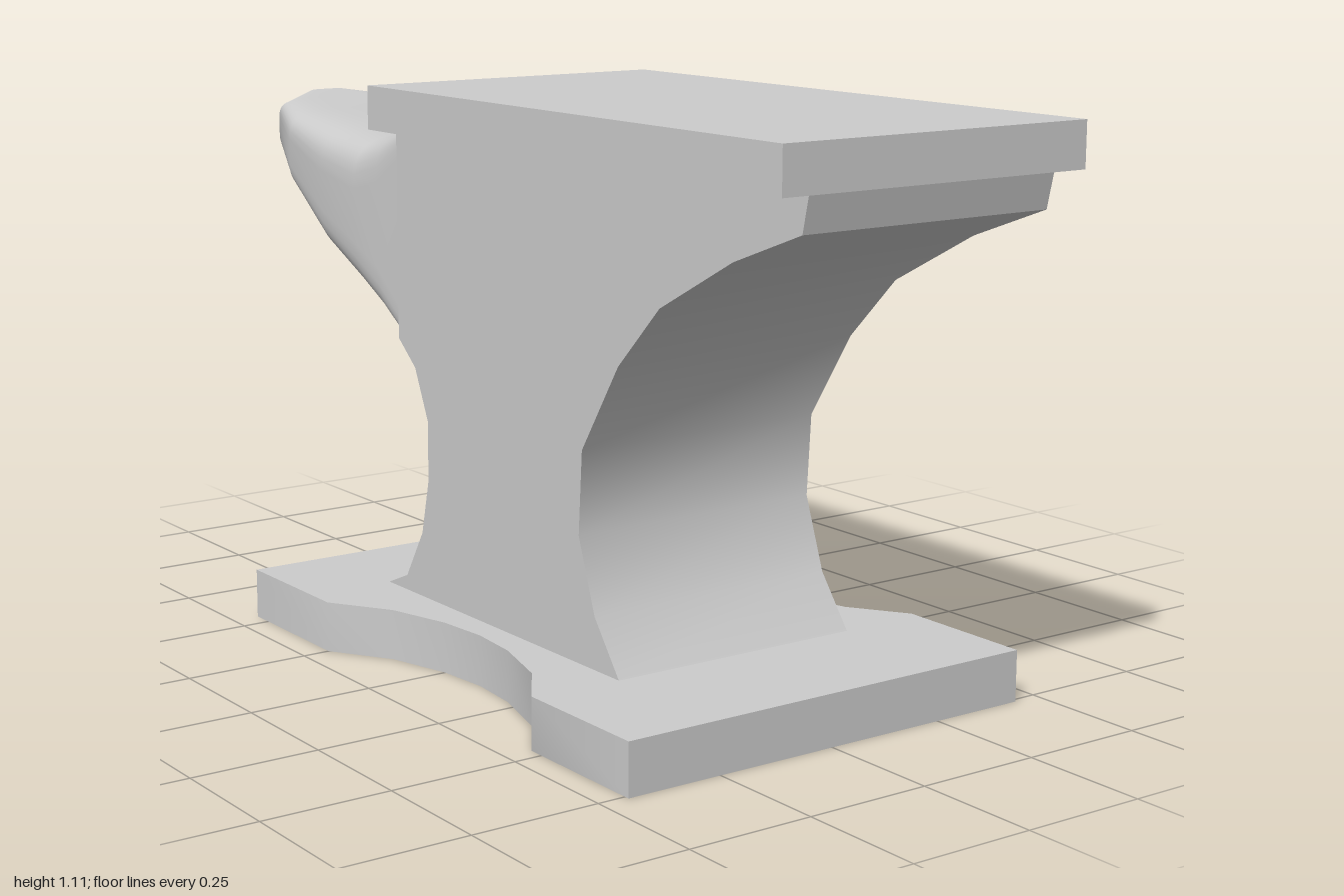
import * as THREE from 'three';
import { toCreasedNormals } from 'three/addons/utils/BufferGeometryUtils.js';

const material = new THREE.MeshStandardMaterial({ color: 0xcccccc });

function addMesh(group, name, geometry) {
  const mesh = new THREE.Mesh(geometry, material);
  mesh.name = name;
  group.add(mesh);
  return mesh;
}

function extrude(points, depth) {
  const shape = new THREE.Shape(points.map(([x, y]) => new THREE.Vector2(x, y)));
  return new THREE.ExtrudeGeometry(shape, { depth, bevelEnabled: false });
}

// Lofts rounded-box sections [x, bottom, top, halfWidth, squareness] along x
function loft(sections, sides) {
  const positions = [];
  const index = [];
  const squash = (v, n) => Math.sign(v) * Math.pow(Math.abs(v), 2 / n);
  const addRing = ([x, bottom, top, halfWidth, n]) => {
    for (let j = 0; j < sides; j++) {
      const a = ((j + 0.5) / sides) * Math.PI * 2;
      positions.push(
        x,
        (top + bottom) / 2 + (squash(Math.sin(a), n) * (top - bottom)) / 2,
        squash(Math.cos(a), n) * halfWidth
      );
    }
  };
  sections.forEach(addRing);
  for (let i = 0; i < sections.length - 1; i++) {
    for (let j = 0; j < sides; j++) {
      const k = (j + 1) % sides;
      const a = i * sides + j, b = i * sides + k;
      index.push(a, a + sides, b, b, a + sides, b + sides);
    }
  }
  // Flat cap on the tip, with its own vertices for a sharp edge
  const start = positions.length / 3;
  const [tipX, tipBottom, tipTop] = sections[0];
  addRing(sections[0]);
  positions.push(tipX, (tipBottom + tipTop) / 2, 0);
  for (let j = 0; j < sides; j++) {
    index.push(start + sides, start + j, start + ((j + 1) % sides));
  }
  const geometry = new THREE.BufferGeometry();
  geometry.setAttribute('position', new THREE.Float32BufferAttribute(positions, 3));
  geometry.setIndex(index);
  geometry.computeVertexNormals();
  return geometry;
}

export function createModel() {
  const anvil = new THREE.Group();
  anvil.name = 'anvil';

  // Base plate with a shallow curved notch on each long side
  const notch = [
    [-0.545, 0.445], [-0.25, 0.445], [-0.13, 0.367], [0, 0.33], [0.11, 0.32],
    [0.22, 0.33], [0.36, 0.37], [0.47, 0.445], [0.76, 0.445],
  ];
  const outline = [
    ...notch.map(([x, z]) => [x, -z]),
    ...[...notch].reverse(),
  ];
  const base = extrude(outline, 0.1).rotateX(-Math.PI / 2);
  addMesh(anvil, 'basePlate', toCreasedNormals(base, 0.65));

  // Waist and heel, one side profile pushed through the full width
  const bodyHalf = 0.267;
  const profile = [
    [-0.31, 0.1], [0.485, 0.1], [0.41, 0.2], [0.36, 0.34], [0.37, 0.5],
    [0.48, 0.67], [0.6, 0.79], [0.8, 0.895], [0.975, 0.96], [0.99, 1.027],
    [-0.26, 1.027], [-0.26, 0.61], [-0.2, 0.56], [-0.155, 0.46],
    [-0.155, 0.34], [-0.18, 0.23], [-0.24, 0.13],
  ];
  const body = extrude(profile, bodyHalf * 2).translate(0, 0, -bodyHalf);
  addMesh(anvil, 'body', toCreasedNormals(body, 0.75));

  // Horn, growing from a small blunt tip to the full body section
  const horn = loft([
    [-1, 0.97, 1.035, 0.05, 6],
    [-0.93, 0.91, 1.025, 0.16, 5],
    [-0.8, 0.838, 1.013, 0.208, 4.5],
    [-0.59, 0.733, 1.003, 0.25, 4.5],
    [-0.43, 0.675, 0.995, 0.267, 5],
    [-0.34, 0.64, 1.01, 0.267, 7],
    [-0.26, 0.61, 1.027, 0.267, 14],
  ], 48);
  addMesh(anvil, 'horn', horn);

  // Face plate on top
  const face = addMesh(anvil, 'facePlate', new THREE.BoxGeometry(1.26, 0.085, 0.66));
  face.position.set(0.37, 1.0685, 0);

  return anvil;
}
